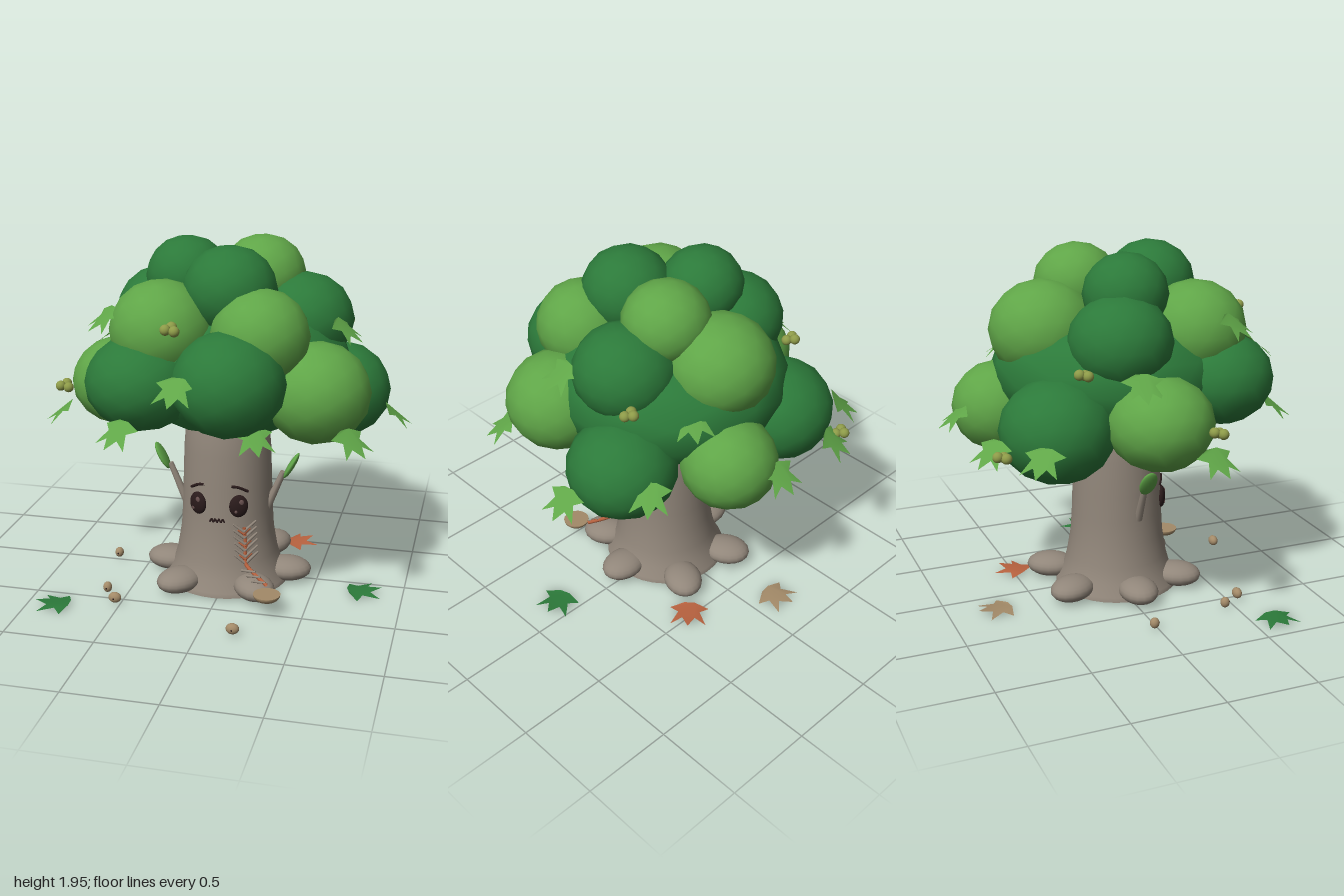
import * as THREE from 'three';

const mat = (name, color, double) => {
  const m = new THREE.MeshStandardMaterial({ color });
  m.name = name;
  if (double) m.side = THREE.DoubleSide;
  return m;
};

export function createModel() {
  const root = new THREE.Group();
  root.name = 'tree';
  const M = {
    dark: mat('darkGreen', 0x2c7a3a, true),
    light: mat('lightGreen', 0x60a648, true),
    bark: mat('bark', 0x91867a, true),
    eye: mat('darkBrown', 0x2a1b1b),
    shine: mat('eyeShine', 0x6a5250),
    tan: mat('tan', 0xa38a68, true),
    rust: mat('rust', 0xb8623f, true),
    olive: mat('olive', 0x8d9a48),
  };
  const V = (x, y, z) => new THREE.Vector3(x, y, z);
  const add = (name, geo, m, pos = [0, 0, 0], parent = root) => {
    const mesh = new THREE.Mesh(geo, m);
    mesh.name = name;
    mesh.position.set(...pos);
    parent.add(mesh);
    return mesh;
  };
  const ball = new THREE.SphereGeometry(1, 18, 12);
  const ellipsoid = (name, m, pos, size, parent) => {
    const e = add(name, ball, m, pos, parent);
    e.scale.set(...size);
    return e;
  };
  // Round tapered stick between two points
  const stick = (name, m, a, b, r0, r1) => {
    const d = b.clone().sub(a);
    const s = add(name, new THREE.CylinderGeometry(r1, r0, d.length(), 8), m,
      a.clone().add(b).multiplyScalar(0.5).toArray());
    s.quaternion.setFromUnitVectors(V(0, 1, 0), d.normalize());
    return s;
  };
  const tube = (name, m, pts, r) => add(name,
    new THREE.TubeGeometry(new THREE.CatmullRomCurve3(pts), 16, r, 6), m);

  // Trunk
  const TX = -0.015, TZ = 0.035;
  const profile = [[0.35, 0.015], [0.345, 0.04], [0.31, 0.1], [0.285, 0.19], [0.263, 0.32],
    [0.255, 0.45], [0.25, 0.6], [0.243, 0.8], [0.23, 0.95], [0.2, 1.05]];
  add('trunk', new THREE.LatheGeometry(profile.map(p => new THREE.Vector2(...p)), 32), M.bark, [TX, 0, TZ]);
  add('trunkBase', new THREE.CircleGeometry(0.35, 32).rotateX(Math.PI / 2), M.bark, [TX, 0.015, TZ]);
  const radiusAt = y => {
    for (let i = 1; i < profile.length; i++) {
      const [r0, y0] = profile[i - 1], [r1, y1] = profile[i];
      if (y <= y1) return r0 + (r1 - r0) * Math.max(0, (y - y0) / (y1 - y0));
    }
    return 0.2;
  };
  // Point on the front of the trunk, lifted by a small amount
  const onTrunk = (x, y, lift = 0.008) =>
    V(x, y, TZ + Math.sqrt(Math.max(0, radiusAt(y) ** 2 - (x - TX) ** 2)) + lift);

  // Roots: x, z
  [[-0.35, 0.03], [-0.225, 0.32], [0.2, 0.32], [0.33, 0.03], [0.17, -0.3], [-0.19, -0.3]].forEach(([x, z]) => {
    ellipsoid('root', M.bark, [x, 0.078, z], [0.108, 0.067, 0.14]).rotation.y = Math.atan2(x - TX, z - TZ);
  });

  // Crown: centre x, y, z, width radius, height radius, colour
  const puff = new THREE.IcosahedronGeometry(1, 2);
  [
    [0, 1.29, 0, 0.66, 0.39, 'dark'],
    [-0.4, 1.09, -0.45, 0.31, 0.28, 'dark'], [0.14, 1.09, -0.6, 0.26, 0.25, 'light'],
    [0.56, 1.085, -0.24, 0.295, 0.27, 'dark'], [-0.62, 1.135, 0.03, 0.285, 0.25, 'light'],
    [-0.37, 1.27, 0.48, 0.3, 0.255, 'dark'], [0.12, 1.32, 0.59, 0.295, 0.275, 'dark'],
    [0.52, 1.22, 0.3, 0.29, 0.27, 'light'],
    [0, 1.53, -0.385, 0.295, 0.27, 'light'], [-0.395, 1.52, -0.1, 0.28, 0.255, 'dark'],
    [0.38, 1.52, -0.08, 0.28, 0.255, 'dark'], [-0.285, 1.53, 0.375, 0.28, 0.265, 'light'],
    [0.24, 1.53, 0.4, 0.26, 0.25, 'light'],
    [-0.245, 1.74, -0.01, 0.23, 0.22, 'dark'], [0.145, 1.74, -0.14, 0.237, 0.22, 'light'],
    [0.05, 1.73, 0.255, 0.25, 0.235, 'dark'],
  ].forEach(([x, y, z, r, h, c]) => add('foliage', puff, M[c], [x, y, z]).scale.set(r, h, r));

  // Pointed leaf lying flat with its tips toward +z, folded a little along the middle
  const half = [[0.03, -0.075], [0.11, -0.045], [0.06, -0.005], [0.1, 0.085], [0.035, 0.045]];
  const outline = [...half, [0, 0.115], ...half.map(([x, y]) => [-x, y]).reverse()];
  const leafGeo = new THREE.ShapeGeometry(new THREE.Shape(outline.map(p => new THREE.Vector2(...p))));
  leafGeo.rotateX(Math.PI / 2);
  const lp = leafGeo.attributes.position;
  for (let i = 0; i < lp.count; i++) lp.setY(i, -Math.abs(lp.getX(i)) * 0.2);
  leafGeo.computeVertexNormals();
  const leaf = (name, m, pos, yaw, tilt) => {
    const l = add(name, leafGeo, m, pos);
    l.rotation.set(tilt, yaw, 0, 'YXZ');
  };
  [[-0.45, 1.04, -0.83], [-0.73, 1.06, -0.65], [0.04, 1.1, -0.88], [0.33, 1.4, -0.53],
    [0.66, 1.12, -0.55], [0.9, 1.0, -0.16], [0.65, 1.53, 0.12], [0.75, 1.05, 0.53],
    [0.22, 0.98, 0.42], [-0.09, 1.36, 0.87], [-0.41, 1.1, 0.81], [-0.57, 1.61, 0.48],
    [-0.73, 1.38, -0.11], [-0.92, 1.01, 0.22],
  ].forEach(p => leaf('crownLeaf', M.light, p, Math.atan2(p[0], p[2]), 0.7));

  // Fallen leaves
  leaf('fallenLeaf', M.dark, [-0.84, 0.03, 0.64], -1.5, 0);
  leaf('fallenLeaf', M.dark, [0.77, 0.03, 0.11], 1.9, 0);
  leaf('fallenLeaf', M.tan, [-0.16, 0.03, -0.73], 3.3, 0);
  leaf('fallenLeaf', M.rust, [0.3, 0.03, -0.48], 2.3, 0);

  // Berry clusters
  [[-0.54, 1.03, -0.79], [-0.58, 1.42, -0.37], [-0.89, 1.14, 0.23], [0.58, 1.47, -0.33], [-0.155, 1.61, 0.68]]
    .forEach(([x, y, z]) => {
      for (let i = 0; i < 3; i++) {
        const a = i * Math.PI * 2 / 3 + 0.5;
        ellipsoid('berry', M.olive, [x + 0.026 * Math.cos(a), y + 0.006 * (i - 1), z + 0.026 * Math.sin(a)],
          [0.028, 0.028, 0.028]);
      }
    });

  // Arms with a leaf at the tip
  for (const s of [-1, 1]) {
    const p = (x, y) => V(TX + s * x, y, 0.07);
    stick('arm', M.bark, p(0.235, 0.46), p(0.325, 0.675), 0.024, 0.017);
    ellipsoid('armLeaf', M.light, p(0.37, 0.715).toArray(), [0.018, 0.085, 0.05]).rotation.z = -s * 0.5;
  }

  // Face
  for (const s of [-1, 1]) {
    const x = TX + s * 0.114;
    const e = onTrunk(x, 0.525, 0);
    const eye = new THREE.Group();
    eye.name = 'eye';
    eye.position.copy(e);
    eye.rotation.y = s * 0.4;
    root.add(eye);
    ellipsoid('eyeball', M.eye, [0, 0, 0], [0.053, 0.065, 0.026], eye);
    ellipsoid('eyeShine', M.shine, [0.012, 0.028, 0.021], [0.014, 0.016, 0.005], eye);
    ellipsoid('eyeShine', M.shine, [-0.018, -0.025, 0.021], [0.009, 0.01, 0.005], eye);
    tube('eyebrow', M.eye, [[0.075, 0.642], [0.11, 0.635], [0.16, 0.605]]
      .map(([u, y]) => onTrunk(TX + s * u, y, 0.004)), 0.008);
  }
  for (let i = 0; i < 8; i++) {
    const p = k => onTrunk(-0.057 + k * 0.0105, 0.442 + (k % 2 ? 0.01 : -0.01), 0.004);
    stick('mouth', M.eye, p(i), p(i + 1), 0.005, 0.005);
  }

  // Feathered twig running down the trunk
  tube('twigSpine', M.rust, [onTrunk(0.13, 0.4, 0.012), onTrunk(0.14, 0.3, 0.014), onTrunk(0.145, 0.2, 0.02),
    V(0.2, 0.165, 0.33), V(0.285, 0.135, 0.4)], 0.011);
  for (let i = 0; i < 6; i++) {
    const y = 0.2 + i * 0.036, x = 0.145 - i * 0.003;
    for (const s of [-1, 1]) {
      stick('twigBarb', M.bark, onTrunk(x, y, 0.02), onTrunk(x + s * 0.055, y + 0.045, 0.012), 0.009, 0.006);
      if (i % 2) stick('twigInnerBarb', M.rust, onTrunk(x, y - 0.012, 0.02), onTrunk(x + s * 0.03, y + 0.012, 0.016), 0.008, 0.005);
    }
  }
  for (let i = 0; i < 3; i++) {
    const x = 0.17 + i * 0.035, y = 0.18 - i * 0.015, z = 0.32 + i * 0.03;
    stick('twigBarb', M.bark, V(x - 0.04, y - 0.01, z), V(x + 0.04, y - 0.005, z + 0.015), 0.008, 0.006);
  }

  // Shallow bowl
  add('bowl', new THREE.SphereGeometry(0.075, 18, 8, 0, Math.PI * 2, Math.PI / 2, Math.PI / 2), M.tan,
    [0.305, 0.125, 0.485]).scale.y = 0.6;
  add('bowlTop', new THREE.CircleGeometry(0.075, 18).rotateX(-Math.PI / 2), M.tan, [0.305, 0.125, 0.485]);

  // Nuts on the ground
  [[-0.69, -0.02, 0.025], [-0.61, 0.44, 0.025], [-0.53, 0.555, 0.036], [0.18, 0.76, 0.036]].forEach(([x, z, w]) => {
    ellipsoid('nut', M.tan, [x, 0.045, z], [w, 0.03, 0.026]);
    ellipsoid('nutTip', M.eye, [x, 0.045, z + 0.025], [0.005, 0.005, 0.004]);
  });
  return root;
}
